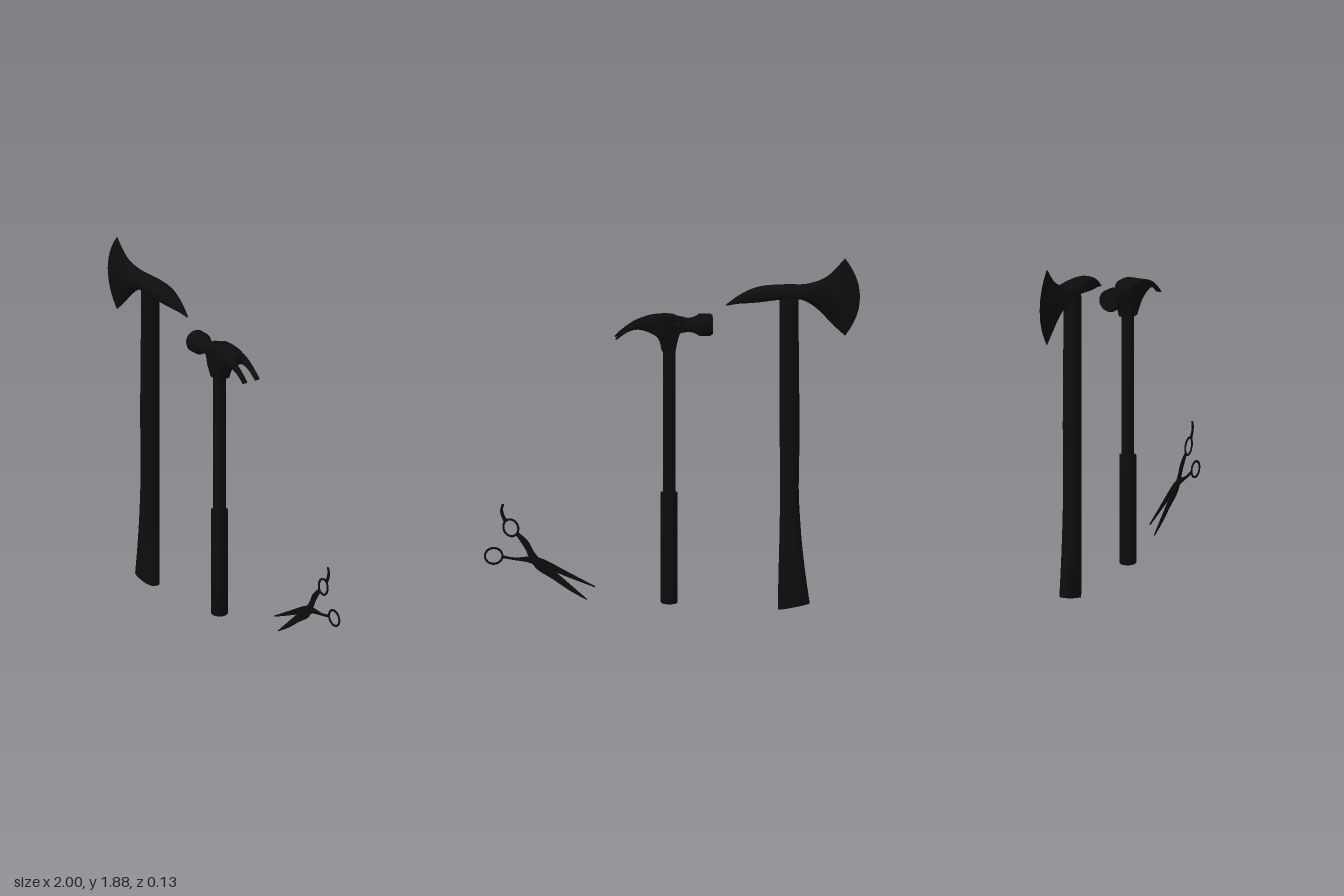
import * as THREE from 'three';
import { toCreasedNormals } from 'three/addons/utils/BufferGeometryUtils.js';

const material = new THREE.MeshStandardMaterial({ color: 0x0d0d0d });
const V2 = (p) => new THREE.Vector2(p[0], p[1]);

function part(name, geometry, crease = 0.7) {
  const mesh = new THREE.Mesh(toCreasedNormals(geometry, crease), material);
  mesh.name = name;
  return mesh;
}

// Skin a list of equal-length rings (counterclockwise about the path) and cap both ends
function loft(rings) {
  const n = rings[0].length, index = [], points = rings.flat();
  for (let i = 0; i < rings.length - 1; i++) {
    for (let j = 0; j < n; j++) {
      const a = i * n + j, b = i * n + (j + 1) % n;
      index.push(a, b, a + n, b, b + n, a + n);
    }
  }
  [rings[0], rings[rings.length - 1]].forEach((ring, end) => {
    const c = points.length, base = end ? (rings.length - 1) * n : 0;
    points.push(ring.reduce((s, p) => s.add(p), new THREE.Vector3()).divideScalar(n));
    for (let j = 0; j < n; j++) {
      const k = (j + 1) % n;
      index.push(c, base + (end ? j : k), base + (end ? k : j));
    }
  });
  const g = new THREE.BufferGeometry().setFromPoints(points);
  g.setIndex(index);
  return g;
}

// Smooth resampling of a table of cross-section values
function resample(rows, steps) {
  const cr = (a, b, c, d, t) => b + 0.5 * t * (c - a + t * (2 * a - 5 * b + 4 * c - d + t * (3 * (b - c) + d - a)));
  const last = rows.length - 1, out = [];
  for (let s = 0; s <= last * steps; s++) {
    const i = Math.min(Math.floor(s / steps), last - 1), t = s / steps - i;
    const r = (k) => rows[Math.max(0, Math.min(last, k))];
    out.push(rows[0].map((_, k) => cr(r(i - 1)[k], r(i)[k], r(i + 1)[k], r(i + 2)[k], t)));
  }
  return out;
}

const ring = (n, fn) => Array.from({ length: n }, (_, j) => fn(j / n * Math.PI * 2));
const soft = (v, e) => Math.sign(v) * Math.abs(v) ** e;

// Closed outline through points, smooth along each run
function outline(...runs) {
  const shape = new THREE.Shape();
  runs.forEach((run, i) => {
    if (i === 0) shape.moveTo(...run[0]); else shape.lineTo(...run[0]);
    if (run.length > 2) shape.splineThru(run.slice(1).map(V2));
    else if (run.length === 2) shape.lineTo(...run[1]);
  });
  shape.closePath();
  return shape;
}

function plate(shapes, z, depth, bevel = 0) {
  const g = new THREE.ExtrudeGeometry(shapes, {
    depth: depth - 2 * bevel, curveSegments: 12, bevelEnabled: bevel > 0,
    bevelSize: bevel, bevelThickness: bevel, bevelOffset: -bevel, bevelSegments: 2,
  });
  return g.translate(0, 0, z - depth / 2 + bevel);
}

function createAxe() {
  const axe = new THREE.Group();
  axe.name = 'axe';
  // Head stations: x in the middle, x at top and bottom, top y, bottom y, half thickness
  const head = resample([
    [-1.0, -0.92, 1.88, 1.465, 0.004],
    [-0.94, -0.847, 1.802, 1.533, 0.015],
    [-0.84, -0.785, 1.764, 1.6, 0.034],
    [-0.72, -0.705, 1.742, 1.657, 0.054],
    [-0.63, -0.63, 1.742, 1.667, 0.057],
    [-0.54, -0.54, 1.74, 1.66, 0.055],
    [-0.47, -0.47, 1.733, 1.651, 0.046],
    [-0.41, -0.41, 1.714, 1.646, 0.034],
    [-0.35, -0.35, 1.682, 1.642, 0.02],
    [-0.29, -0.29, 1.638, 1.632, 0.004],
  ], 4).map(([xm, xt, top, bottom, h]) => ring(32, (a) => {
    const v = soft(Math.cos(a), 0.75);
    return new THREE.Vector3(xm + (xt - xm) * v * v,
      (top + bottom) / 2 + v * (top - bottom) / 2, h * soft(Math.sin(a), 0.75));
  }));
  axe.add(part('axeHead', loft(head)));
  // Handle stations: y, left edge x, right edge x, half depth, slant of the base
  const handle = resample([
    [0.016, -0.733, -0.564, 0.043, 0.016],
    [0.2, -0.709, -0.568, 0.044, 0],
    [0.4, -0.688, -0.573, 0.044, 0],
    [0.65, -0.675, -0.576, 0.044, 0],
    [0.95, -0.68, -0.574, 0.045, 0],
    [1.3, -0.676, -0.573, 0.044, 0],
    [1.7, -0.674, -0.573, 0.042, 0],
  ], 3).map(([y, x0, x1, h, slant]) => ring(32, (a) => {
    const u = soft(Math.sin(a), 0.8);
    return new THREE.Vector3((x0 + x1) / 2 + u * (x1 - x0) / 2, y - slant * u, h * soft(Math.cos(a), 0.8));
  }));
  axe.add(part('axeHandle', loft(handle)));
  return axe;
}

function createHammer() {
  const hammer = new THREE.Group();
  hammer.name = 'hammer';
  hammer.position.set(0.01, 0, 0.008);
  const lathe = (pts) => new THREE.LatheGeometry(pts.map(V2), 32);
  hammer.add(part('hammerGrip', lathe([[0, 0.037], [0.04, 0.037], [0.045, 0.043], [0.045, 0.632], [0, 0.632]])));
  hammer.add(part('hammerShaft', new THREE.CylinderGeometry(0.034, 0.034, 0.85, 32).translate(0, 1.03, 0)));

  // Striking face and neck, turned about the x axis
  const poll = lathe([[0, 0.02], [0.052, 0.03], [0.042, 0.07], [0.037, 0.1], [0.041, 0.125], [0.052, 0.148],
    [0.059, 0.158], [0.06, 0.215], [0.052, 0.229], [0, 0.23]]);
  hammer.add(part('hammerFace', poll.rotateZ(Math.PI / 2).translate(0, 1.53, 0)));

  // Body with the socket for the shaft, narrowing downwards and towards the neck
  const body = plate(outline(
    [[-0.08, 1.568], [-0.045, 1.572], [-0.02, 1.582], [0.03, 1.585], [0.1, 1.578], [0.16, 1.558]],
    [[0.16, 1.516], [0.11, 1.5], [0.07, 1.476], [0.052, 1.445], [0.04, 1.395]],
    [[-0.032, 1.395], [-0.042, 1.45], [-0.055, 1.49], [-0.08, 1.502]],
  ), 0, 0.11, 0.006);
  const p = body.attributes.position;
  for (let i = 0; i < p.count; i++) {
    const low = THREE.MathUtils.smoothstep(p.getY(i), 1.38, 1.49);
    const neck = THREE.MathUtils.smoothstep(p.getX(i), -0.09, -0.03);
    p.setZ(i, p.getZ(i) * (0.68 + 0.32 * low) * (0.62 + 0.38 * neck));
  }
  hammer.add(part('hammerBody', body));

  // Two claws with a slot between them
  const claw = outline(
    [[0.15, 1.562], [0.185, 1.546], [0.225, 1.52], [0.26, 1.492], [0.287, 1.466]],
    [[0.281, 1.462], [0.25, 1.486], [0.22, 1.504], [0.185, 1.515], [0.15, 1.515]],
  );
  for (const side of [-1, 1]) hammer.add(part('hammerClaw', plate(claw, side * 0.04, 0.03, 0.003)));
  return hammer;
}

function createScissors() {
  const scissors = new THREE.Group();
  scissors.name = 'scissors';
  const loop = (x, y, rx, ry, tilt) => {
    const s = new THREE.Shape().absellipse(x, y, rx, ry, 0, Math.PI * 2, false, tilt);
    s.holes.push(new THREE.Path().absellipse(x, y, rx - 0.011, ry - 0.011, 0, Math.PI * 2, true, tilt));
    return s;
  };
  // Blade running up to the loop with the finger rest
  const upper = outline(
    [[0.451, 0.07], [0.54, 0.121], [0.63, 0.183], [0.71, 0.235], [0.75, 0.288], [0.778, 0.35], [0.825, 0.422]],
    [[0.812, 0.436], [0.762, 0.39], [0.725, 0.325], [0.685, 0.283], [0.59, 0.2], [0.449, 0.075]],
  );
  const rest = outline(
    [[0.872, 0.506], [0.886, 0.53], [0.893, 0.56], [0.887, 0.588]],
    [[0.9, 0.588], [0.908, 0.56], [0.905, 0.53], [0.889, 0.492]],
  );
  scissors.add(part('upperHandleBlade', plate([upper, rest, loop(0.852, 0.461, 0.044, 0.052, -0.4)], -0.057, 0.005)));
  // Blade running out to the plain loop
  const lower = outline(
    [[0.408, 0.138], [0.51, 0.178], [0.62, 0.222], [0.69, 0.238], [0.75, 0.272], [0.83, 0.288], [0.9, 0.3]],
    [[0.9, 0.316], [0.83, 0.302], [0.75, 0.306], [0.68, 0.292], [0.55, 0.222], [0.407, 0.144]],
  );
  scissors.add(part('lowerHandleBlade', plate([lower, loop(0.943, 0.312, 0.052, 0.048, 0)], -0.062, 0.005)));
  const screw = new THREE.CylinderGeometry(0.014, 0.014, 0.016, 20).rotateX(Math.PI / 2);
  scissors.add(part('pivotScrew', screw.translate(0.69, 0.263, -0.059)));
  return scissors;
}

export function createModel() {
  const model = new THREE.Group();
  model.name = 'handTools';
  model.add(createAxe(), createHammer(), createScissors());
  return model;
}
